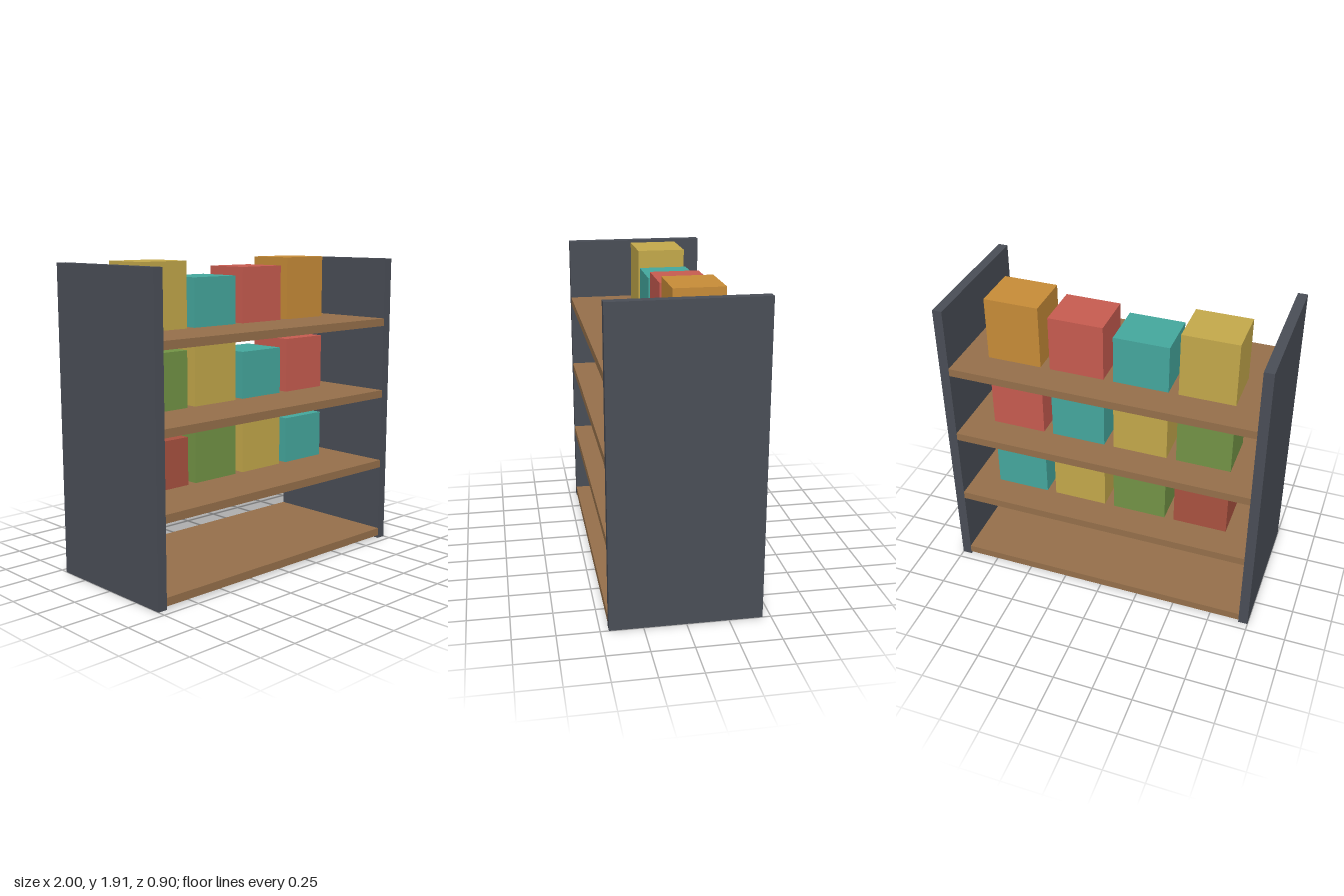
import * as THREE from 'three';

export function createModel() {
  const model = new THREE.Group();
  model.name = 'stockedShelf';

  const mat = (name, color) => {
    const m = new THREE.MeshStandardMaterial({ color });
    m.name = name;
    return m;
  };
  const slate = mat('slate', 0x4a4e57);
  const wood = mat('wood', 0x96704b);
  const yellow = mat('yellow', 0xc4a94b);
  const teal = mat('teal', 0x45a89e);
  const red = mat('red', 0xc85c50);
  const orange = mat('orange', 0xc88c38);
  const green = mat('green', 0x739446);
  const brick = mat('brick', 0xaa5240);

  // Box standing on height y
  const addBox = (name, material, w, h, d, x, y, z) => {
    const mesh = new THREE.Mesh(new THREE.BoxGeometry(w, h, d), material);
    mesh.name = name;
    mesh.position.set(x, y + h / 2, z);
    model.add(mesh);
  };

  // Side panels
  addBox('leftPanel', slate, 0.06, 1.9, 0.9, 0.97, 0, 0);
  addBox('rightPanel', slate, 0.06, 1.9, 0.9, -0.97, 0, 0);

  // Goods on each shelf, from -x to +x: material and height
  const rows = [
    [],
    [[brick, 0.3], [green, 0.35], [yellow, 0.4], [teal, 0.3]],
    [[green, 0.35], [yellow, 0.4], [teal, 0.3], [red, 0.35]],
    [[yellow, 0.4], [teal, 0.3], [red, 0.35], [orange, 0.4]],
  ];

  // Shelf boards with their boxes
  rows.forEach((goods, i) => {
    const y = 0.02 + i * 0.48;
    addBox(`shelf${i + 1}`, wood, 1.88, 0.05, 0.9, 0, y, 0);
    goods.forEach(([material, h], j) => {
      addBox(`box${i}_${j + 1}`, material, 0.34, h, 0.3, -0.6 + j * 0.4, y + 0.05, -0.1);
    });
  });

  return model;
}
